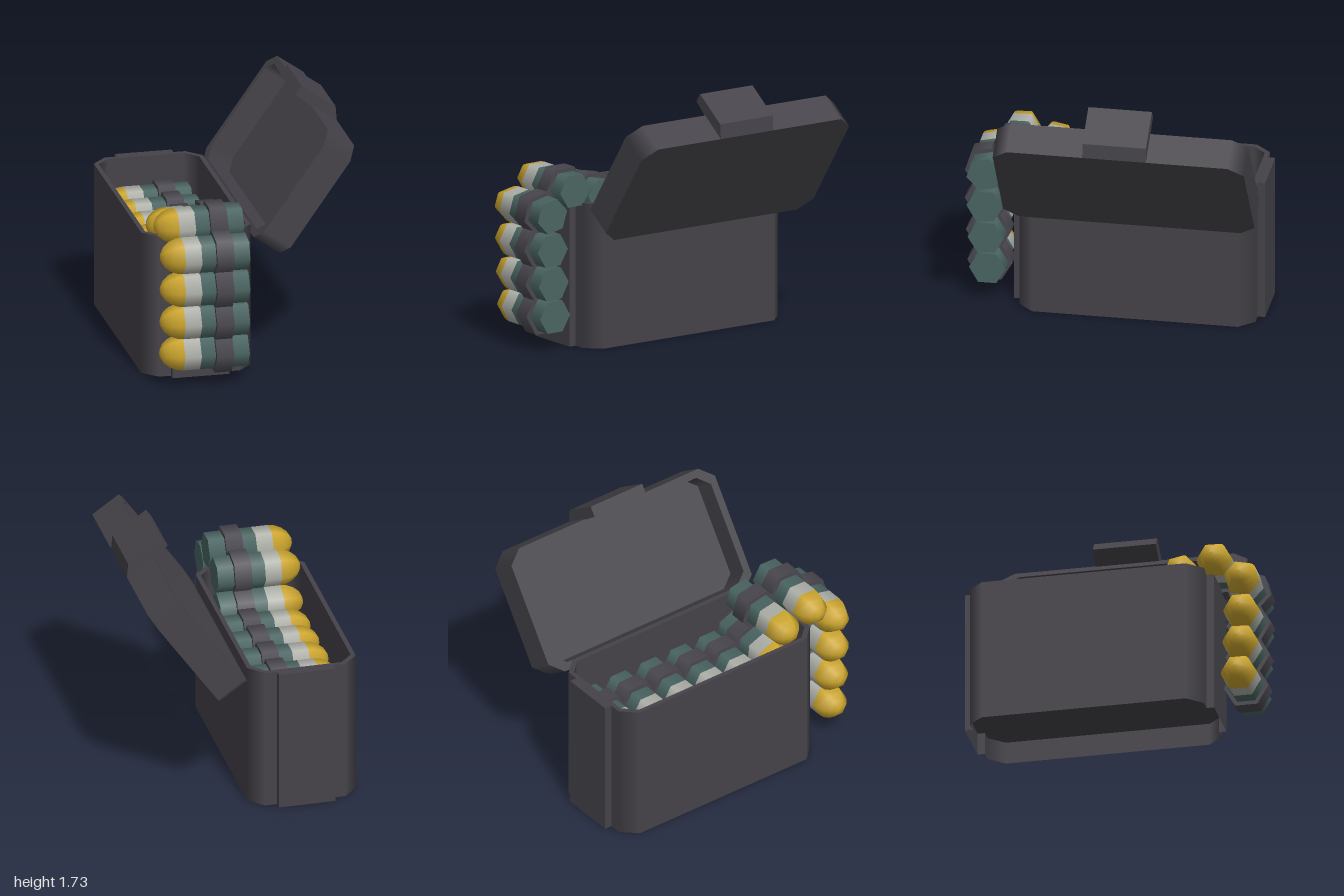
import * as THREE from 'three';

const mat = (name, color, side = THREE.FrontSide) => {
  const m = new THREE.MeshStandardMaterial({ color, side });
  m.name = name;
  return m;
};

export function createModel() {
  const boxMat = mat('dark grey metal', 0x454349, THREE.DoubleSide);
  const linkMat = mat('link grey', 0x4a484f);
  const greenMat = mat('casing green', 0x4a6562);
  const whiteMat = mat('band white', 0xb0b2ab);
  const goldMat = mat('tip gold', 0xcba52e);

  const model = new THREE.Group();
  const add = (parent, name, geometry, material) => {
    const mesh = new THREE.Mesh(geometry, material);
    mesh.name = name;
    parent.add(mesh);
    return mesh;
  };

  // Chamfered rectangle in plan; shape y is -z
  const octagon = (x0, x1, z0, z1, cx, cz) => [
    [x0 + cx, z0], [x1 - cx, z0], [x1, z0 + cz], [x1, z1 - cz],
    [x1 - cx, z1], [x0 + cx, z1], [x0, z1 - cz], [x0, z0 + cz],
  ];
  const toPoints = (list) => list.map(([x, z]) => new THREE.Vector2(x, -z));

  // Chamfers blend smoothly between the two walls they join
  const smoothChamfers = (g) => {
    g.computeBoundingBox();
    const { min, max } = g.boundingBox;
    const mid = (min.x + max.x) / 2;
    const edge = (max.x - min.x) / 2 - 0.055;
    const p = g.attributes.position;
    const n = g.attributes.normal;
    for (let i = 0; i < p.count; i++) {
      const nx = n.getX(i);
      const nz = n.getZ(i);
      if (Math.abs(nx) < 0.3 || Math.abs(nz) < 0.3) continue;
      if (Math.abs(p.getX(i) - mid) > edge) n.setXYZ(i, Math.sign(nx), 0, 0);
      else n.setXYZ(i, 0, 0, Math.sign(nz));
    }
    return g;
  };
  const slab = (outer, inner, y0, y1) => {
    const shape = new THREE.Shape(toPoints(outer));
    if (inner) shape.holes.push(new THREE.Path(toPoints(inner).reverse()));
    const g = new THREE.ExtrudeGeometry(shape, { depth: y1 - y0, bevelEnabled: false });
    return smoothChamfers(g.rotateX(-Math.PI / 2).translate(0, y0, 0));
  };

  // Thin open wall following an outline
  const skirt = (outline, y0, y1) => {
    const pos = [];
    outline.forEach(([ax, az], i) => {
      const [bx, bz] = outline[(i + 1) % outline.length];
      pos.push(ax, y0, az, ax, y1, az, bx, y1, bz, ax, y0, az, bx, y1, bz, bx, y0, bz);
    });
    const g = new THREE.BufferGeometry();
    g.setAttribute('position', new THREE.Float32BufferAttribute(pos, 3));
    g.computeVertexNormals();
    return smoothChamfers(g);
  };

  // Open box with a raised panel on the front and back, hollow underneath
  const box = new THREE.Group();
  box.name = 'box';
  model.add(box);
  const outline = octagon(-0.705, 0.025, -0.95, 0.61, 0.095, 0.1);
  const cavity = octagon(-0.675, -0.005, -0.92, 0.58, 0.083, 0.088);
  const withPanels = [
    outline[0], [-0.53, -0.95], [-0.53, -1], [-0.15, -1], [-0.15, -0.95],
    outline[1], outline[2], outline[3],
    outline[4], [-0.15, 0.61], [-0.15, 0.66], [-0.53, 0.66], [-0.53, 0.61],
    outline[5], outline[6], outline[7],
  ];
  add(box, 'boxWalls', slab(withPanels, cavity, 0.15, 0.97), boxMat);
  add(box, 'boxFloor', slab(cavity, null, 0.15, 0.19), boxMat);
  add(box, 'boxSkirt', skirt(withPanels, 0, 0.15), boxMat);

  // Lid, swung open; local x runs along its width, local y towards its inside
  const lid = new THREE.Group();
  lid.name = 'lid';
  lid.position.set(0.21, 0.771, 0);
  lid.rotation.z = Math.atan2(0.7, 0.495);
  model.add(lid);
  const lidOutline = octagon(0, 0.861, -1, 0.66, 0.085, 0.1);
  const lidCavity = octagon(0.05, 0.811, -0.95, 0.61, 0.075, 0.088);
  add(lid, 'lidPanel', slab(lidOutline, null, 0, 0.042), boxMat);
  add(lid, 'lidRim', slab(lidOutline, lidCavity, 0.042, 0.215), boxMat);

  const latchShape = new THREE.Shape([
    [0.85, 0.005], [0.861, 0], [0.936, 0.063], [0.935, 0.339], [0.865, 0.339], [0.855, 0.215],
  ].map(([x, y]) => new THREE.Vector2(x, y)));
  const latch = new THREE.ExtrudeGeometry(latchShape, { depth: 0.42, bevelEnabled: false });
  add(lid, 'latch', latch.translate(0, 0, -0.36), boxMat);

  // Six-sided round pieces lying along x
  const R = 0.12;
  const hex = (radius, x0, x1, open) =>
    new THREE.CylinderGeometry(radius, radius, x1 - x0, 6, 1, open)
      .rotateZ(Math.PI / 2).translate((x0 + x1) / 2, 0, 0);
  const casingGeo = hex(R, -0.4, -0.08, false);
  const bandGeo = hex(R, -0.51, -0.4, true);
  const linkGeo = hex(0.15, -0.305, -0.19, false);
  const tipGeo = new THREE.LatheGeometry(
    [[R, 0.51], [0.115, 0.55], [0.096, 0.595], [0.066, 0.632], [0.03, 0.652], [0, 0.656]]
      .map(([r, y]) => new THREE.Vector2(r, y)), 6).rotateZ(Math.PI / 2);

  // Belt positions: z, y, tilt, from inside the box over the front edge
  const belt = [
    [-0.797, 0.69, 0], [-0.553, 0.69, 0], [-0.307, 0.69, 0], [-0.065, 0.69, 0], [0.17, 0.69, 0],
    [0.37, 0.77, -0.4], [0.44, 0.99, -0.2], [0.663, 1.057, 0.02],
    [0.845, 0.91, 0.22], [0.842, 0.68, 0], [0.835, 0.455, 0.03], [0.825, 0.235, 0],
  ];
  belt.forEach(([z, y, tilt], i) => {
    const round = new THREE.Group();
    round.name = 'round' + (i + 1);
    round.position.set(0, y, z);
    round.rotation.x = tilt;
    model.add(round);
    add(round, 'casing', casingGeo, greenMat);
    add(round, 'band', bandGeo, whiteMat);
    add(round, 'tip', tipGeo, goldMat);
    add(round, 'link', linkGeo, linkMat);

    // Strap joining this link to the next
    if (i < belt.length - 1) {
      const [z2, y2] = belt[i + 1];
      const length = Math.hypot(z2 - z, y2 - y);
      const strap = add(model, 'strap', new THREE.BoxGeometry(0.113, 0.05, length), linkMat);
      strap.position.set(-0.2475, (y + y2) / 2, (z + z2) / 2);
      strap.rotation.x = -Math.atan2(y2 - y, z2 - z);
    }
  });

  return model;
}
